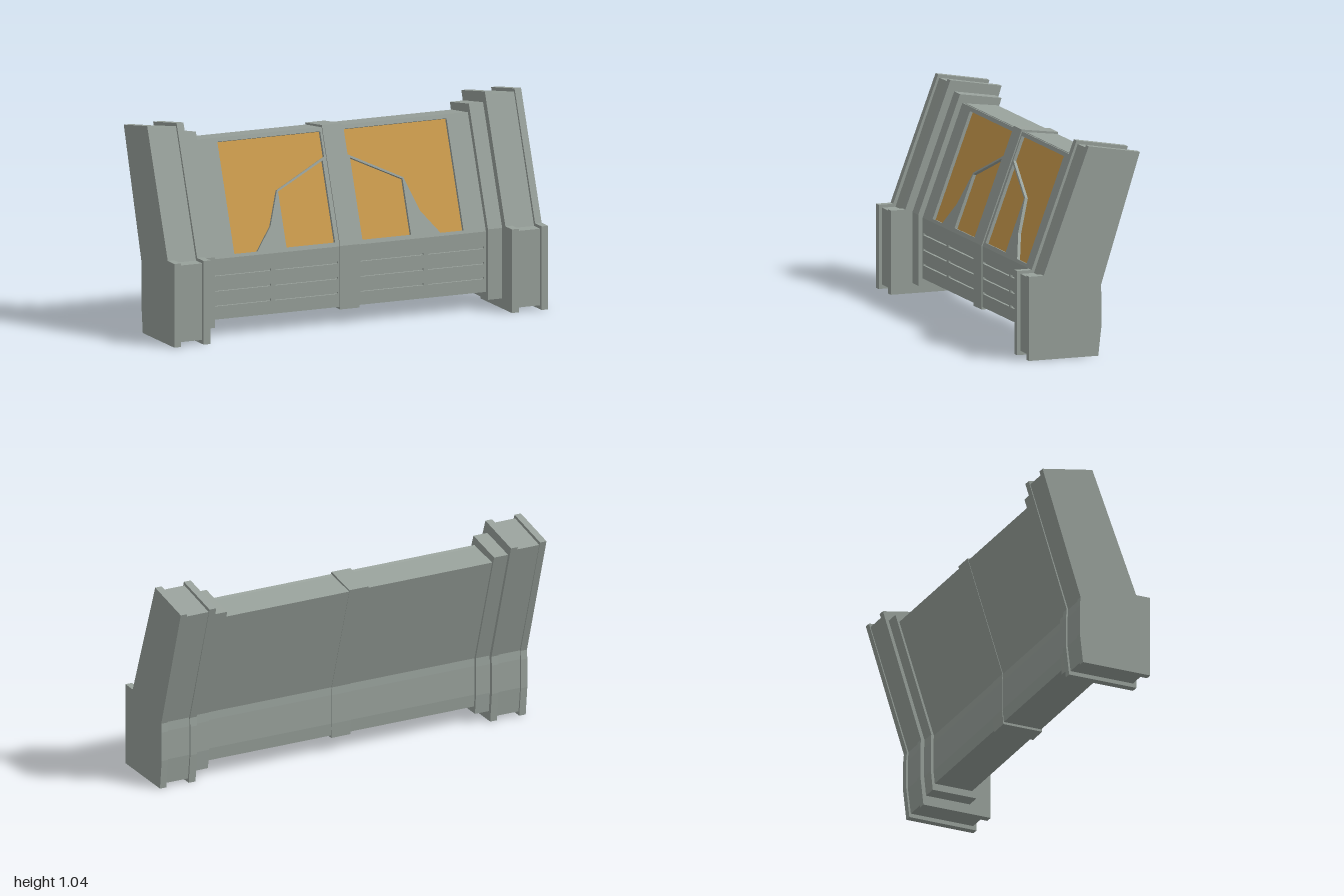
import * as THREE from 'three';

const grey = new THREE.MeshStandardMaterial({ color: 0x98a19b });
grey.name = 'grey metal';
const amber = new THREE.MeshStandardMaterial({ color: 0xca9a4c });
amber.name = 'amber glass';

const TILT = Math.atan(0.376);            // lean of the upper front
const KINK = { y: 0.385, z: 0.155 };      // where the lower front meets the leaning front

// Side outlines as [z, y]
const RIM = [[0.29, 0], [0.29, 0.415], [0.215, 0.415], [-0.02, 1.037], [-0.287, 0.99],
  [-0.083, 0.345], [-0.087, 0.3], [-0.087, 0.15], [-0.07, 0]];
const PILLAR = [[0.272, 0.02], [0.272, 0.4], [0.203, 0.4], [-0.026, 1.02], [-0.278, 0.974],
  [-0.075, 0.345], [-0.078, 0.3], [-0.078, 0.15], [-0.062, 0.02]];
const STEP = [[0.178, 0.05], [0.178, 0.4], [-0.04, 0.98], [-0.256, 0.945],
  [-0.064, 0.345], [-0.066, 0.3], [-0.066, 0.15], [-0.056, 0.05]];
const RIB = [[0.16, 0.073], [0.16, 0.388], [-0.05, 0.946], [-0.24, 0.92],
  [-0.053, 0.34], [-0.055, 0.3], [-0.055, 0.15], [-0.048, 0.073]];
const CORE = [[0.143, 0.085], [0.143, 0.37], [-0.071, 0.932], [-0.235, 0.911],
  [-0.05, 0.34], [-0.052, 0.3], [-0.052, 0.15], [-0.045, 0.085]];

const toPoints = (list) => list.map(([x, y]) => new THREE.Vector2(x, y));

function addMesh(group, name, geometry, material) {
  const mesh = new THREE.Mesh(geometry, material);
  mesh.name = name;
  group.add(mesh);
}

// Side outline extruded along x from x0 to x1
function addSlice(group, name, outline, x0, x1) {
  const shape = new THREE.Shape(toPoints(outline.map(([z, y]) => [-z, y])));
  const geometry = new THREE.ExtrudeGeometry(shape, { depth: x1 - x0, bevelEnabled: false });
  geometry.rotateY(Math.PI / 2).translate(x0, 0, 0);
  addMesh(group, name, geometry, grey);
}

// Flat plate with holes, its front face at z = front
function plate(outline, holes, depth, front) {
  const shape = new THREE.Shape(toPoints(outline));
  holes.forEach((h) => shape.holes.push(new THREE.Path(toPoints(h))));
  return new THREE.ExtrudeGeometry(shape, { depth, bevelEnabled: false })
    .translate(0, 0, front - depth);
}

const rect = (x0, y0, x1, y1) => [[x0, y0], [x1, y0], [x1, y1], [x0, y1]];
const mirror = (list) => list.map(([x, y]) => [-x, y]).reverse();
// Height on the front elevation to distance up the leaning face
const lean = (list) => list.map(([x, y]) => [x, (y - KINK.y) / Math.cos(TILT)]);

export function createModel() {
  const model = new THREE.Group();
  model.name = 'consoleWall';

  // Main body and centre rib
  addSlice(model, 'bodyCore', CORE, -0.735, 0.735);
  addSlice(model, 'centreRib', RIB, -0.052, 0.052);

  // Stepped end frames
  for (const [name, s] of [['left', 1], ['right', -1]]) {
    const frame = new THREE.Group();
    frame.name = name + 'EndFrame';
    const parts = [['innerStep', STEP, 0.73, 0.808], ['innerRim', RIM, 0.806, 0.843],
      ['pillar', PILLAR, 0.843, 0.965], ['outerRim', RIM, 0.965, 1]];
    for (const [part, outline, a, b] of parts) {
      addSlice(frame, part, outline, Math.min(s * a, s * b), Math.max(s * a, s * b));
    }
    model.add(frame);
  }

  // Leaning front with recessed windows
  const upper = lean([[0.613, 0.4], [0.613, 0.917], [0.063, 0.917], [0.063, 0.8],
    [0.338, 0.67], [0.4, 0.51], [0.49, 0.4]]);
  const lower = lean([[0.073, 0.405], [0.333, 0.405], [0.333, 0.663], [0.073, 0.784]]);
  const windows = [upper, lower, mirror(upper), mirror(lower)];
  const front = new THREE.Group();
  front.name = 'leaningFront';
  front.position.set(0, KINK.y, KINK.z);
  front.rotation.x = -TILT;
  const top = (0.936 - KINK.y) / Math.cos(TILT);
  addMesh(front, 'windowSurround', plate(rect(-0.735, 0, 0.735, top), windows, 0.02, 0), grey);
  windows.forEach((w) => addMesh(front, 'windowPane', plate(w, [], 0.006, -0.016), amber));
  model.add(front);

  // Lower front with three rows of vent slots
  const slots = [];
  for (const y of [0.15, 0.224, 0.3]) {
    for (const [a, b] of [[0.06, 0.395], [0.42, 0.72]]) {
      const slot = rect(a, y, b, y + 0.011);
      slots.push(slot, mirror(slot));
    }
  }
  addMesh(model, 'ventPanel',
    plate(rect(-0.735, 0.085, 0.735, KINK.y), slots, 0.012, KINK.z), grey);

  return model;
}
